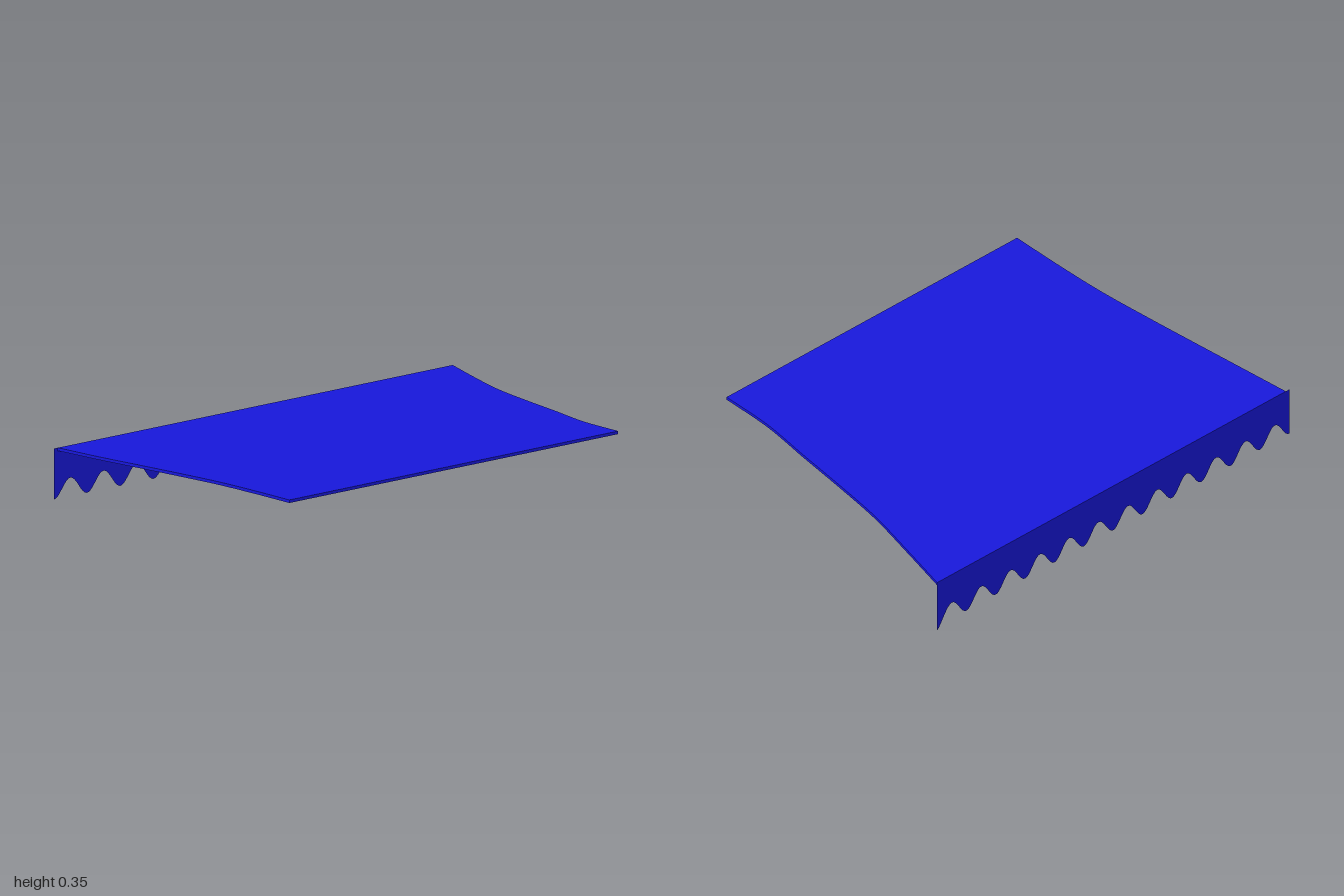
import * as THREE from 'three';
import { toCreasedNormals } from 'three/addons/utils/BufferGeometryUtils.js';

const blue = new THREE.MeshStandardMaterial({ color: 0x1818dc, side: THREE.DoubleSide });
const LOW_X = -0.72;

// Smooth side edge of the canopy, from the low end to the high end
function sideEdge(zs) {
  const ys = [0.235, 0.252, 0.271, 0.29, 0.309, 0.328, 0.347];
  const points = zs.map((z, i) => new THREE.Vector3(LOW_X + i * 0.24, ys[i], z));
  return new THREE.CatmullRomCurve3(points, false, 'catmullrom', 0.5);
}

// Thin sloping sheet stretched between the two curved side edges
function canopy() {
  const thickness = 0.013, segments = 36;
  const front = sideEdge([0.98, 0.952, 0.922, 0.893, 0.868, 0.857, 0.853]);
  const back = sideEdge([-1, -0.94, -0.885, -0.852, -0.825, -0.796, -0.796]);
  const geometry = new THREE.BoxGeometry(1, thickness, 1, segments, 1, 1);
  const position = geometry.attributes.position;
  for (let i = 0; i < position.count; i++) {
    const t = THREE.MathUtils.clamp(position.getX(i) + 0.5, 0, 1);
    const p = (position.getZ(i) > 0 ? front : back).getPoint(t);
    const drop = position.getY(i) > 0 ? 0 : thickness;
    position.setXYZ(i, p.x, p.y - drop, p.z);
  }
  const mesh = new THREE.Mesh(toCreasedNormals(geometry, 0.5), blue);
  mesh.name = 'canopy';
  return mesh;
}

// Hanging strip with a wavy lower edge: twelve waves along the low end
function valance() {
  const top = 0.235, steps = 192;
  const geometry = new THREE.PlaneGeometry(2, 1, steps, 1);
  geometry.rotateY(-Math.PI / 2);
  const position = geometry.attributes.position;
  for (let i = 0; i < position.count; i++) {
    const z = position.getZ(i);
    let y = top;
    if (position.getY(i) < 0) {
      y = 0.057 - 0.04 * Math.cos(z * Math.PI * 12);
      if (z < -0.97) y -= 0.017 * (-z - 0.97) / 0.03; // longer point at the back corner
    }
    position.setXYZ(i, LOW_X, y, z);
  }
  geometry.computeVertexNormals();
  const mesh = new THREE.Mesh(geometry, blue);
  mesh.name = 'valance';
  return mesh;
}

export function createModel() {
  const awning = new THREE.Group();
  awning.name = 'awning';
  awning.add(canopy(), valance());
  return awning;
}
